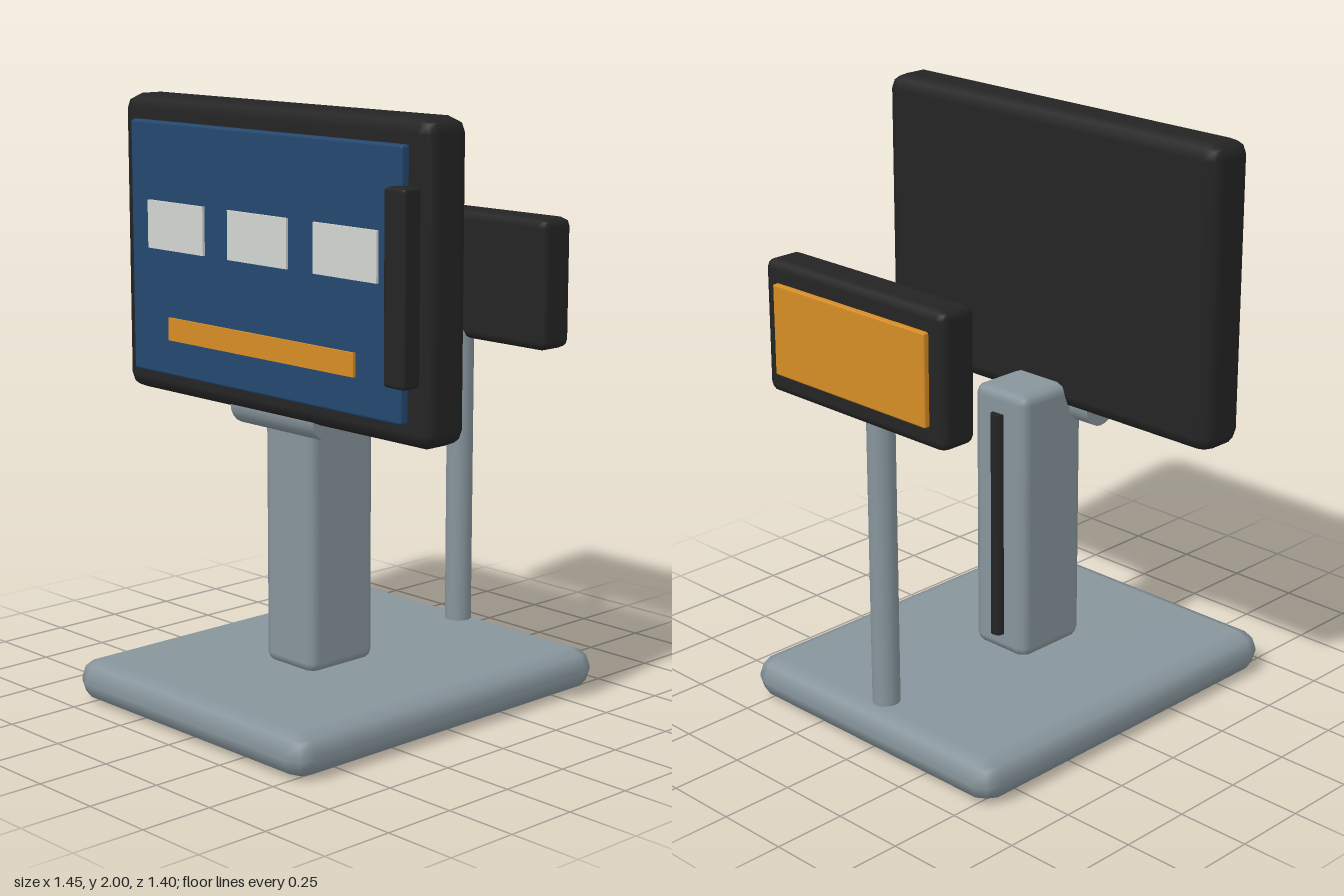
import * as THREE from 'three';
import { RoundedBoxGeometry } from 'three/addons/geometries/RoundedBoxGeometry.js';

const material = (name, color) => {
  const m = new THREE.MeshStandardMaterial({ color });
  m.name = name;
  return m;
};

export function createModel() {
  const group = new THREE.Group();
  group.name = 'checkoutTerminal';
  const metal = material('greyMetal', 0x87959c);
  const black = material('blackPlastic', 0x242424);
  const blue = material('screenBlue', 0x24486f);
  const white = material('tileWhite', 0xd3d5d3);
  const amber = material('amber', 0xd68d24);

  const add = (name, geometry, mat, x, y, z) => {
    const mesh = new THREE.Mesh(geometry, mat);
    mesh.name = name;
    mesh.position.set(x, y, z);
    group.add(mesh);
    return mesh;
  };
  // Box given by its limits on each axis; a radius bevels the edges
  const box = (name, mat, [x0, x1], [y0, y1], [z0, z1], r = 0) => {
    const size = [x1 - x0, y1 - y0, z1 - z0];
    const geometry = r ? new RoundedBoxGeometry(...size, 1, r) : new THREE.BoxGeometry(...size);
    return add(name, geometry, mat, (x0 + x1) / 2, (y0 + y1) / 2, (z0 + z1) / 2);
  };

  // Stand: bevelled base plate, column, cable cover and tilt hinge
  box('base', metal, [-0.565, 0.565], [0, 0.148], [-0.672, 0.7], 0.07);
  box('column', metal, [-0.118, 0.118], [0.14, 1.09], [-0.045, 0.24], 0.035);
  add('cable', new THREE.CylinderGeometry(0.025, 0.025, 0.8, 12), black, 0, 0.61, -0.047);
  const hinge = add('hinge', new THREE.CylinderGeometry(0.07, 0.07, 0.4, 20), metal, 0, 1.013, 0.238);
  hinge.rotation.z = Math.PI / 2;

  // Main display
  box('displayHousing', black, [-0.725, 0.725], [1, 2], [0.148, 0.327], 0.05);
  box('displayPanel', blue, [-0.642, 0.642], [1.078, 1.92], [0.32, 0.357], 0.01);
  for (const x of [-0.404, 0, 0.404]) {
    box('screenTile', white, [x - 0.141, x + 0.141], [1.5, 1.66], [0.357, 0.366]);
  }
  box('screenBar', amber, [-0.445, 0.445], [1.2, 1.276], [0.357, 0.366]);
  box('cardReader', black, [0.615, 0.705], [1.2, 1.8], [0.335, 0.408], 0.012);

  // Customer display on its pole, facing backwards
  add('pole', new THREE.CylinderGeometry(0.046, 0.046, 1.04, 16), metal, 0, 0.665, -0.568);
  box('customerDisplayHousing', black, [-0.402, 0.402], [1.157, 1.6], [-0.683, -0.543], 0.03);
  box('customerDisplayPanel', amber, [-0.341, 0.341], [1.23, 1.53], [-0.702, -0.675], 0.006);

  return group;
}
